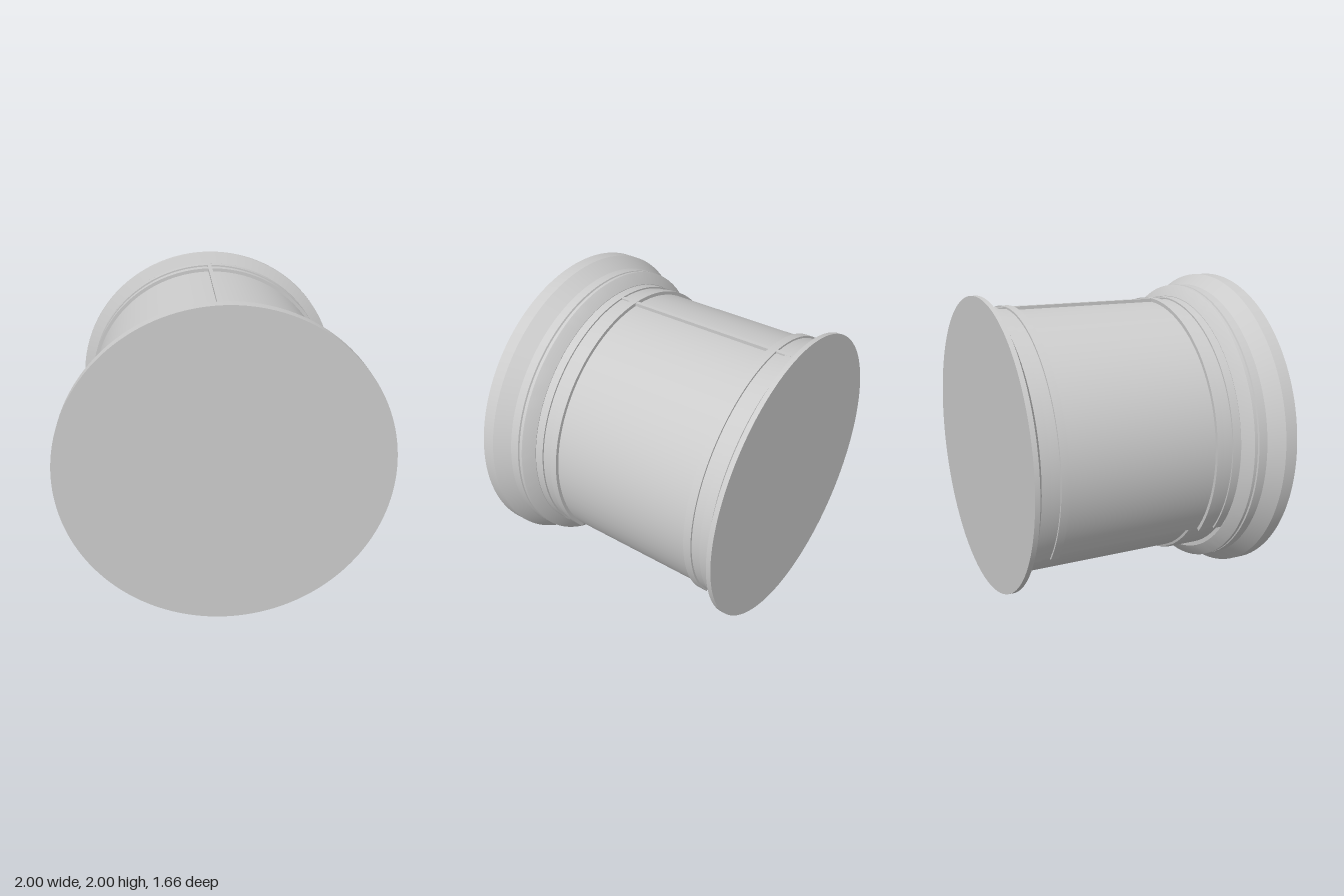
import * as THREE from 'three';
import { mergeGeometries, toCreasedNormals } from 'three/addons/utils/BufferGeometryUtils.js';

const SPLIT = 0.91; // half angle of the lower cover, measured from straight down

export function createModel() {
  const model = new THREE.Group();
  const drum = new THREE.Group();
  drum.name = 'drum';
  drum.position.y = 1;
  model.add(drum);
  const solid = new THREE.MeshStandardMaterial({ color: 0xcccccc });
  const open = new THREE.MeshStandardMaterial({ color: 0xcccccc, side: THREE.DoubleSide });

  // Turns [radius, z] points about the z axis; angle 0 points straight down.
  // Partial turns get a flat wall at both ends.
  function turn(name, profile, start = 0, sweep = Math.PI * 2) {
    const pts = profile.map(([r, z]) => new THREE.Vector2(r, z));
    const segments = Math.max(2, Math.ceil(sweep * 24));
    const full = sweep > 6.28;
    const parts = [toCreasedNormals(new THREE.LatheGeometry(pts, segments, start, sweep), 0.3)];
    if (!full) {
      for (const a of [start, start + sweep]) {
        parts.push(new THREE.ShapeGeometry(new THREE.Shape(pts)).toNonIndexed().rotateY(a - Math.PI / 2));
      }
    }
    const mesh = new THREE.Mesh(mergeGeometries(parts).rotateX(Math.PI / 2), full ? solid : open);
    mesh.name = name;
    drum.add(mesh);
  }

  // End flanges with their flat discs
  turn('frontFlange', [
    [0, 0.52], [0.865, 0.52], [0.93, 0.565], [0.935, 0.57], [0.935, 0.588], [0.925, 0.592],
    [0.925, 0.598], [0.935, 0.602], [0.935, 0.66], [1, 0.75], [1, 0.83], [0, 0.83],
  ]);
  turn('backFlange', [
    [0, -0.83], [0.93, -0.83], [0.93, -0.8], [0.86, -0.765], [0, -0.765],
  ]);

  // Upper shell with a pair of stepped bands at each end
  turn('upperShell', [
    [0.7, -0.77], [0.86, -0.77], [0.86, -0.71], [0.85, -0.71], [0.85, -0.65], [0.862, -0.65],
    [0.862, -0.6], [0.84, -0.6], [0.84, 0.355], [0.862, 0.355], [0.862, 0.4], [0.852, 0.4],
    [0.852, 0.465], [0.862, 0.465], [0.862, 0.525], [0.7, 0.525],
  ], SPLIT, Math.PI * 2 - SPLIT * 2);

  // Lower cover, thicker near the front
  turn('lowerCover', [
    [0.7, -0.77], [0.817, -0.77], [0.817, 0.3], [0.831, 0.305], [0.838, 0.325],
    [0.838, 0.525], [0.7, 0.525],
  ], -SPLIT, SPLIT * 2);

  // Seam ribs along the top and the bottom
  function rib(name, y, z0, z1) {
    const mesh = new THREE.Mesh(new THREE.BoxGeometry(0.026, 0.06, z1 - z0), solid);
    mesh.name = name;
    mesh.position.set(0, y, (z0 + z1) / 2);
    drum.add(mesh);
  }
  rib('topSeam', 0.83, -0.74, 0.5);
  rib('bottomSeam', -0.793, -0.77, 0.31);

  return model;
}
